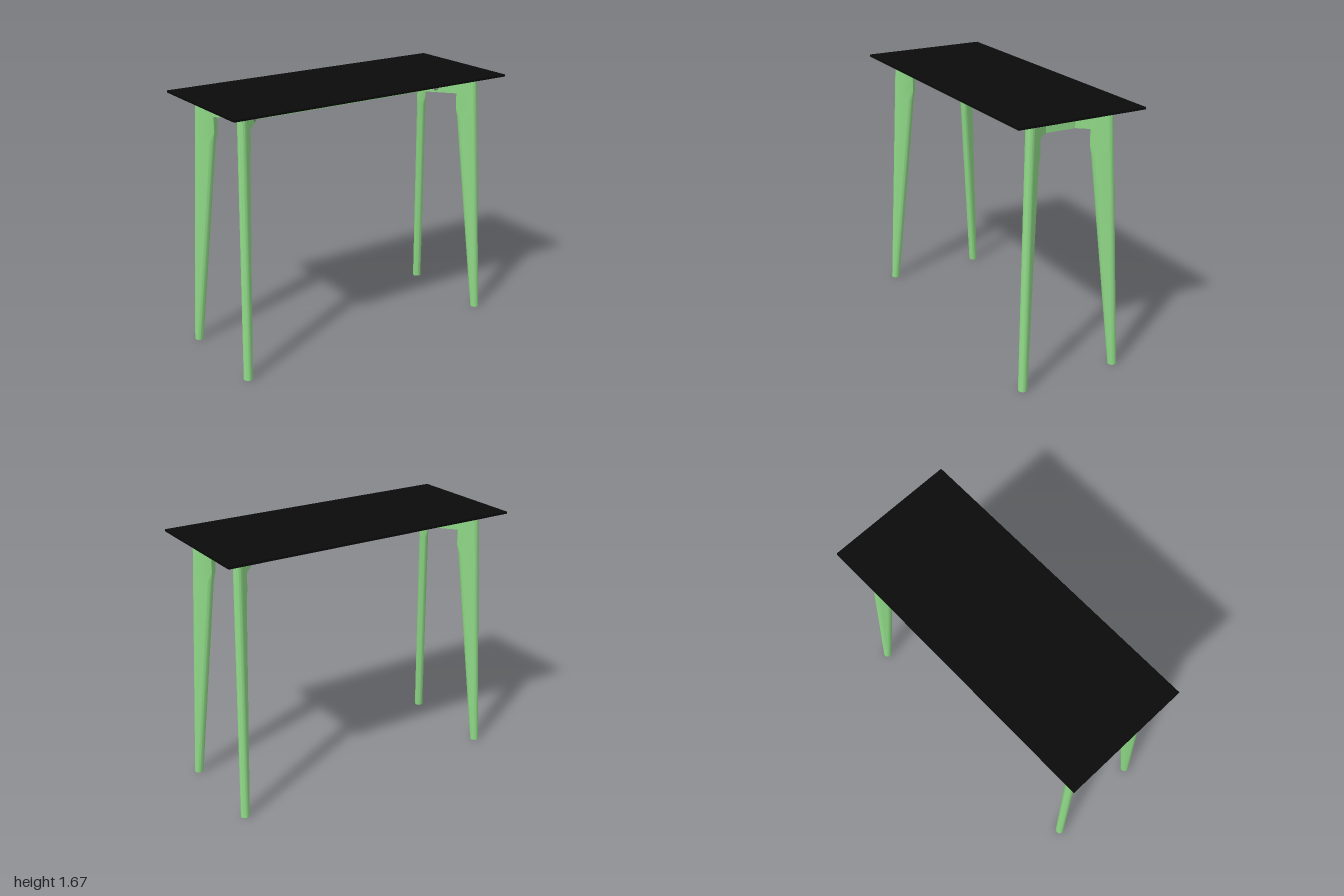
import * as THREE from 'three';
import { toCreasedNormals } from 'three/addons/utils/BufferGeometryUtils.js';

const mat = (color) => new THREE.MeshStandardMaterial({ color });
const green = mat(0x8fd987), black = mat(0x0a0a0a), steel = mat(0x777777);

const HUB = 0.645;                      // x where the arms meet the beam
const DIR = Math.atan2(0.768, 0.64);    // plan angle of each leg
const R = 0.029;                        // half thickness of arm and leg
const ARM_LOW = 1.53, ARM_TOP = 1.635;

function add(parent, name, geometry, material, x = 0, y = 0, z = 0) {
  const mesh = new THREE.Mesh(geometry, material);
  mesh.name = name;
  mesh.position.set(x, y, z);
  parent.add(mesh);
  return mesh;
}

// Leg cross-section: round outside, inner corners of radius k
function section(outer, tip, r, k) {
  const pts = [];
  const arc = (cx, cz, rad, from, to, n) => {
    for (let i = 0; i <= n; i++) {
      const a = from + (to - from) * i / n;
      pts.push([cx + rad * Math.cos(a), cz + rad * Math.sin(a)]);
    }
  };
  const q = Math.PI / 2;
  arc(outer, 0, r, -q, q, 14);
  arc(tip + k, r - k, k, q, 2 * q, 6);
  arc(tip + k, k - r, k, 2 * q, 3 * q, 6);
  return pts;
}

// Tapered leg lofted from the foot up to the arm
function legGeometry() {
  const levels = [ // height, inner tip, half thickness, inner corner radius
    [0, 0.397, 0.028, 0.0278],
    [1.37, 0.248, R, 0.0285],
    [1.43, 0.242, R, 0.003],
    [ARM_TOP, 0.242, R, 0.003],
  ];
  const pos = [], idx = [];
  let n = 0;
  levels.forEach(([y, tip, r, k]) => {
    const ring = section(0.425 - 0.0526 * y, tip, r, k);
    n = ring.length;
    ring.forEach(([x, z]) => pos.push(x, y, z));
  });
  const last = levels.length - 1;
  for (let j = 0; j < last; j++) for (let i = 0; i < n; i++) {
    const a = j * n + i, b = j * n + (i + 1) % n;
    idx.push(a, a + n, b, b, a + n, b + n);
  }
  for (let i = 1; i < n - 1; i++) {
    idx.push(0, i, i + 1, last * n, last * n + i + 1, last * n + i);
  }
  const g = new THREE.BufferGeometry();
  g.setAttribute('position', new THREE.Float32BufferAttribute(pos, 3));
  g.setIndex(idx);
  return toCreasedNormals(g, 0.6);
}

export function createModel() {
  const table = new THREE.Group();
  table.name = 'table';

  // Thin top and central beam
  add(table, 'tableTop', new THREE.BoxGeometry(2, 0.014, 0.84), black, 0, 1.662, 0);
  const h = ARM_TOP - ARM_LOW, mid = (ARM_TOP + ARM_LOW) / 2;
  add(table, 'centreBeam', new THREE.BoxGeometry(2 * HUB, h, 0.054), green, 0, mid, 0);

  // Wedge filling the fork between the two arms at each end
  const wedge = new THREE.Shape();
  wedge.moveTo(HUB, 0);
  wedge.lineTo(0.766, -0.1);
  wedge.lineTo(0.766, 0.1);
  wedge.closePath();
  const wedgeGeo = new THREE.ExtrudeGeometry(wedge, { depth: h, bevelEnabled: false });
  wedgeGeo.rotateX(-Math.PI / 2);

  const legGeo = legGeometry();
  const armGeo = new THREE.BoxGeometry(0.245, h, 2 * R);
  const padGeo = new THREE.CylinderGeometry(0.035, 0.035, 0.02, 24);
  const boltGeo = new THREE.CylinderGeometry(0.016, 0.016, 0.006, 16).rotateX(Math.PI / 2);

  for (const sx of [1, -1]) {
    const end = add(table, 'endWedge', wedgeGeo, green, 0, ARM_LOW, 0);
    if (sx < 0) end.rotation.y = Math.PI;

    for (const sz of [1, -1]) {
      const leg = new THREE.Group();
      leg.name = (sz > 0 ? 'front' : 'back') + (sx > 0 ? 'Left' : 'Right') + 'Leg';
      leg.position.x = sx * HUB;
      leg.rotation.y = Math.atan2(-sz * Math.sin(DIR), sx * Math.cos(DIR));
      table.add(leg);
      add(leg, 'legPost', legGeo, green);
      add(leg, 'arm', armGeo, green, 0.1225, mid, 0);
      add(leg, 'topPad', padGeo, steel, 0.188, ARM_TOP + 0.01, 0);
      // Bolt heads on the long-side face of the arm
      for (const y of [1.557, 1.61]) {
        add(leg, 'bolt', boltGeo, steel, 0.105, y, sx * sz * (R + 0.001));
      }
    }
  }
  return table;
}
